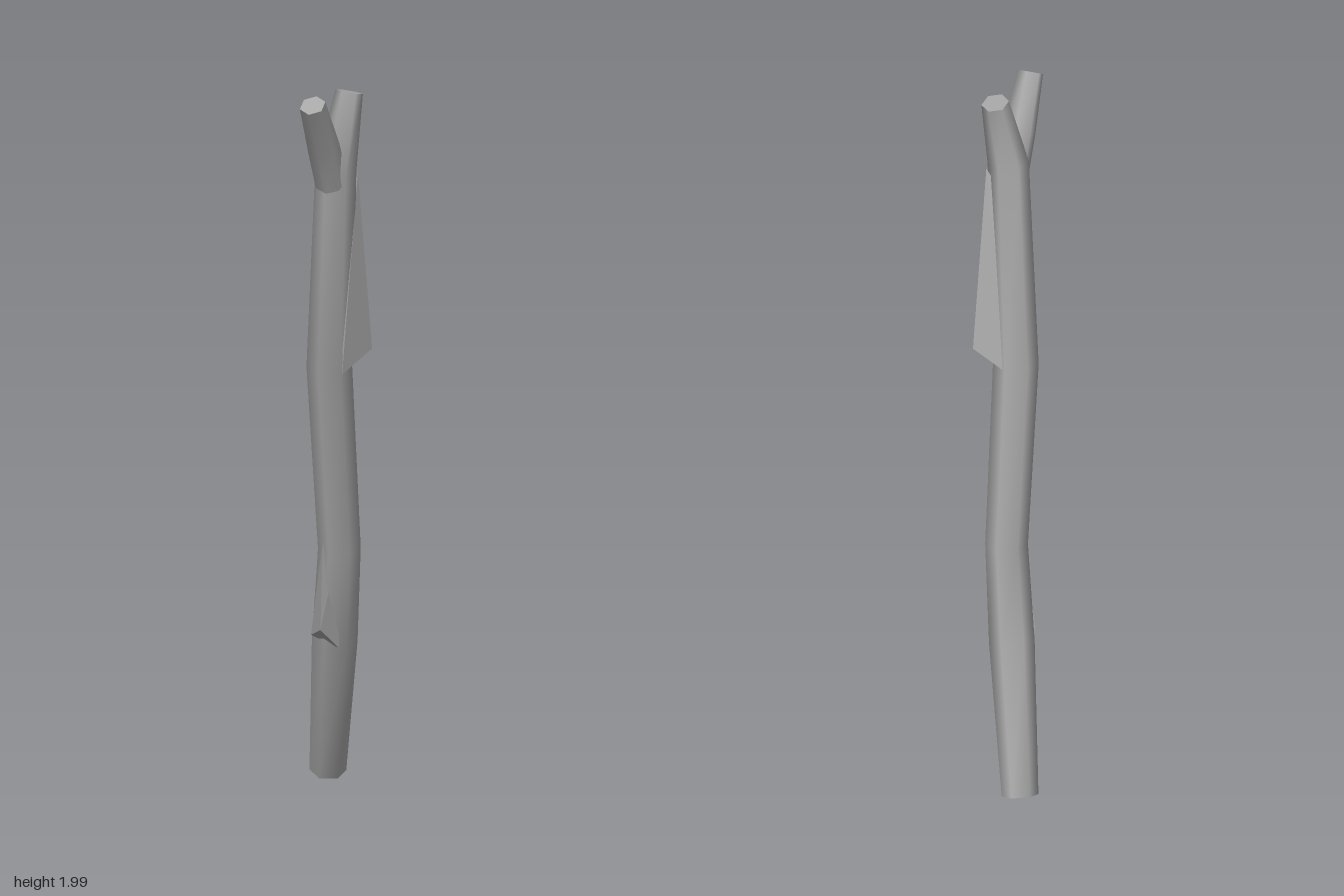
import * as THREE from 'three';
import { ConvexGeometry } from 'three/addons/geometries/ConvexGeometry.js';

const SIDES = 6;

// Smooth six-sided limb through points [x, y, z, radius], with flat end caps.
function limb(points, turn) {
  const centres = points.map(p => new THREE.Vector3(p[0], p[1], p[2]));
  const rings = points.map((p, i) => {
    const dir = centres[Math.min(i + 1, points.length - 1)].clone()
      .sub(centres[Math.max(i - 1, 0)]).normalize();
    const u = new THREE.Vector3(1, 0, 0).addScaledVector(dir, -dir.x).normalize();
    const v = new THREE.Vector3().crossVectors(u, dir);
    return Array.from({ length: SIDES }, (_, k) => {
      const a = turn + (k / SIDES) * Math.PI * 2;
      return centres[i].clone()
        .addScaledVector(u, Math.cos(a) * p[3])
        .addScaledVector(v, Math.sin(a) * p[3]);
    });
  });
  const pos = [], index = [];
  const add = p => pos.push(p.x, p.y, p.z) / 3 - 1;
  rings.forEach(r => r.forEach(add));
  for (let i = 0; i < rings.length - 1; i++) {
    for (let k = 0; k < SIDES; k++) {
      const a = i * SIDES + k, b = i * SIDES + (k + 1) % SIDES;
      index.push(a, a + SIDES, b, b, a + SIDES, b + SIDES);
    }
  }
  // End caps have their own vertices so the rims stay sharp
  [[0, false], [rings.length - 1, true]].forEach(([i, top]) => {
    const c = add(centres[i]);
    const ids = rings[i].map(add);
    ids.forEach((id, k) => {
      const next = ids[(k + 1) % SIDES];
      if (top) index.push(c, next, id);
      else index.push(c, id, next);
    });
  });
  const g = new THREE.BufferGeometry();
  g.setAttribute('position', new THREE.Float32BufferAttribute(pos, 3));
  g.setIndex(index);
  g.computeVertexNormals();
  return g;
}

// Tapered splinter of wood spanning its corner points
const splinter = corners => new ConvexGeometry(corners.map(c => new THREE.Vector3(...c)));

export function createModel() {
  const wood = new THREE.MeshStandardMaterial({ color: 0xa6a6a6 });
  wood.name = 'greyWood';
  const group = new THREE.Group();
  group.name = 'stick';
  const part = (name, geometry) => {
    const mesh = new THREE.Mesh(geometry, wood);
    mesh.name = name;
    group.add(mesh);
  };

  // Crooked main stem, from the foot to the rear fork tip
  part('stem', limb([
    [-0.185, 0.02, -0.225, 0.05],
    [-0.06, 0.41, -0.12, 0.062],
    [0.0, 0.68, -0.075, 0.058],
    [0.045, 1.2, 0.012, 0.062],
    [0.143, 1.77, 0.09, 0.056],
    [0.152, 1.98, 0.047, 0.038],
  ], 0.3));

  // Front prong of the fork
  part('frontProng', limb([
    [0.138, 1.73, 0.1, 0.045],
    [0.155, 1.84, 0.15, 0.044],
    [0.192, 1.974, 0.233, 0.036],
  ], 0.2));

  // Long splinter peeling down from the fork
  part('upperSplinter', splinter([
    [0.178, 1.76, 0.04], [0.135, 1.7, 0.05],
    [0.13, 1.25, -0.067], [0.025, 1.2, -0.04], [0.11, 1.19, 0.03],
  ]));

  // Short splinter above the foot
  part('lowerSplinter', splinter([
    [-0.012, 0.7, -0.022], [0.0, 0.68, -0.07],
    [-0.012, 0.46, -0.013], [-0.09, 0.43, -0.058], [-0.01, 0.4, -0.085],
  ]));

  return group;
}
